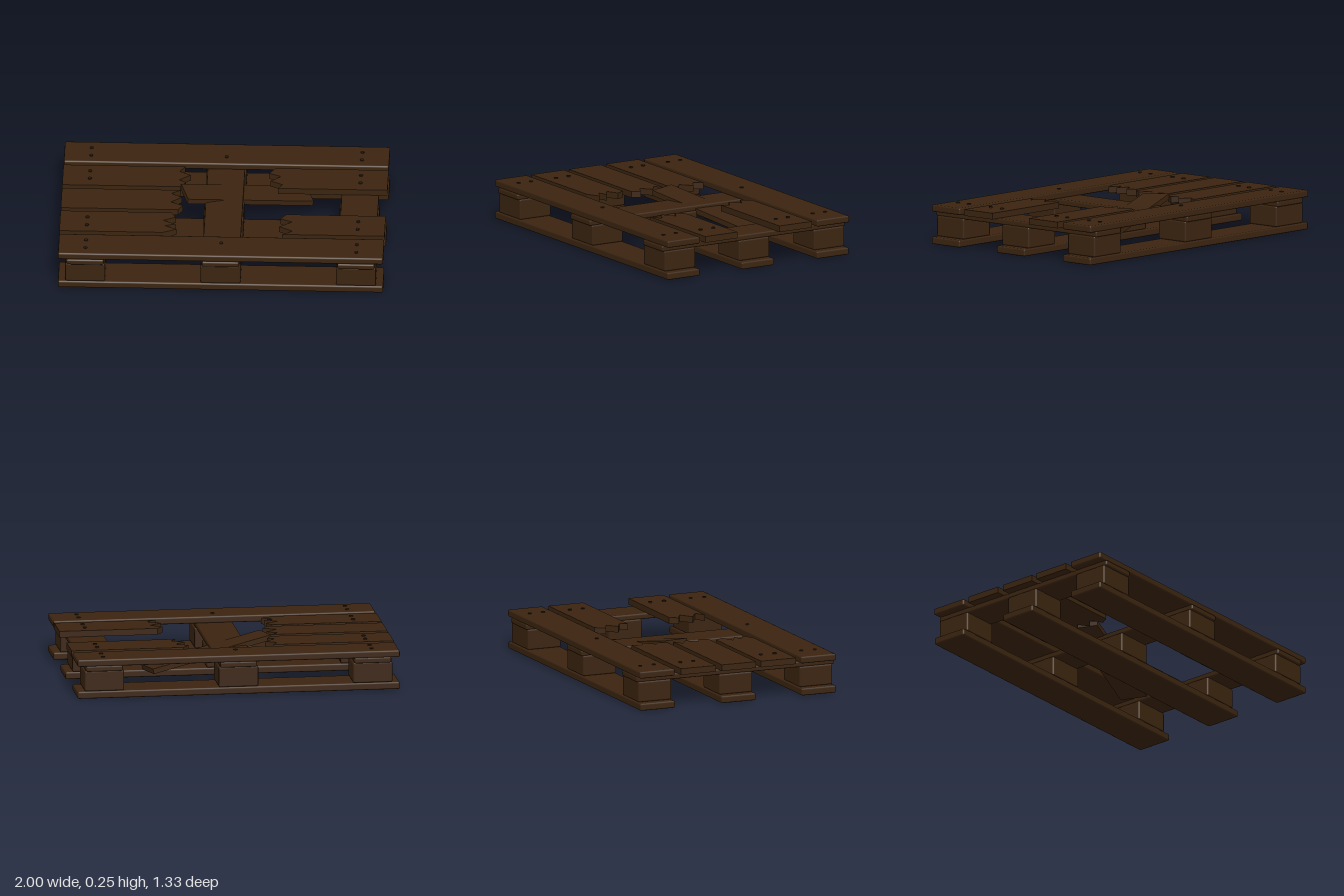
import * as THREE from 'three';
import { RoundedBoxGeometry } from 'three/addons/geometries/RoundedBoxGeometry.js';

const wood = new THREE.MeshStandardMaterial({ color: 0x3b2410 });
wood.name = 'dark wood';
const iron = new THREE.MeshStandardMaterial({ color: 0x2c1b0d });
iron.name = 'nail iron';

export function createModel() {
  const pallet = new THREE.Group();
  pallet.name = 'brokenPallet';

  const add = (name, geometry, material, x, y, z) => {
    const mesh = new THREE.Mesh(geometry, material);
    mesh.name = name;
    mesh.position.set(x, y, z);
    pallet.add(mesh);
    return mesh;
  };
  // Timber with softened edges, placed by its centre
  const timber = (name, w, h, d, x, y, z) =>
    add(name, new RoundedBoxGeometry(w, h, d, 1, 0.01), wood, x, y, z);

  const columns = [-0.833, 0, 0.833];
  const rows = [-0.545, 0, 0.54];

  // Bottom runners
  for (const z of rows) timber('bottomBoard', 2, 0.045, 0.234, 0, 0.0225, z);

  // Spacer blocks and the cross boards resting on them
  for (const x of columns) {
    for (const z of rows) timber('spacerBlock', 0.246, 0.128, 0.224, x, 0.109, z);
    timber('crossBoard', 0.23, 0.036, 1.33, x, 0.187, 0);
  }

  // Whole top boards at the front and back edges
  timber('topBoardBack', 2, 0.043, 0.236, 0, 0.2235, -0.547);
  timber('topBoardFront', 2, 0.043, 0.236, 0, 0.2235, 0.538);

  // Snapped top boards: side is the intact end, tear lists [x, z] along the break
  const snappedBoard = (name, side, tear) => {
    const z0 = tear[0][1], z1 = tear[tear.length - 1][1];
    const outline = [[side, z0], ...tear, [side, z1]];
    const shape = new THREE.Shape(outline.map(([x, z]) => new THREE.Vector2(x, -z)));
    const geometry = new THREE.ExtrudeGeometry(shape, { depth: 0.039, bevelEnabled: false });
    geometry.rotateX(-Math.PI / 2);
    add(name, geometry, wood, 0, 0.204, 0);
  };
  snappedBoard('snappedBoardBackRight', -1,
    [[-0.25, -0.39], [-0.283, -0.335], [-0.214, -0.295], [-0.283, -0.235], [-0.24, -0.208], [-0.273, -0.155]]);
  snappedBoard('snappedBoardBackLeft', 1,
    [[0.305, -0.39], [0.267, -0.33], [0.342, -0.295], [0.278, -0.24], [0.353, -0.2], [0.326, -0.155]]);
  snappedBoard('snappedBoardMiddleRight', -1,
    [[-0.27, -0.115], [-0.325, -0.075], [-0.26, -0.03], [-0.326, 0.025], [-0.25, 0.065], [-0.28, 0.115]]);
  snappedBoard('snappedBoardFrontRight', -1,
    [[-0.32, 0.15], [-0.29, 0.205], [-0.365, 0.242], [-0.29, 0.285], [-0.355, 0.305], [-0.28, 0.345], [-0.365, 0.385]]);
  snappedBoard('snappedBoardFrontLeft', 1,
    [[0.39, 0.15], [0.353, 0.2], [0.428, 0.237], [0.348, 0.293], [0.433, 0.343], [0.37, 0.385]]);

  // Loose plank fallen through the gap
  const plank = add('loosePlank', new THREE.BoxGeometry(0.81, 0.033, 0.175), wood, 0.135, 0.165, -0.2);
  plank.rotation.set(0.04, 0.292, -0.174, 'YZX');

  // Nail heads
  const nailHead = new THREE.CylinderGeometry(0.012, 0.012, 0.012, 8);
  for (const x of [-0.833, 0.833])
    for (const z of [-0.59, -0.5, -0.32, -0.232, 0.222, 0.314, 0.495, 0.585])
      add('nailHead', nailHead, iron, x, 0.244, z);
  for (const z of [-0.51, 0.502]) add('nailHead', nailHead, iron, 0, 0.244, z);

  return pallet;
}
